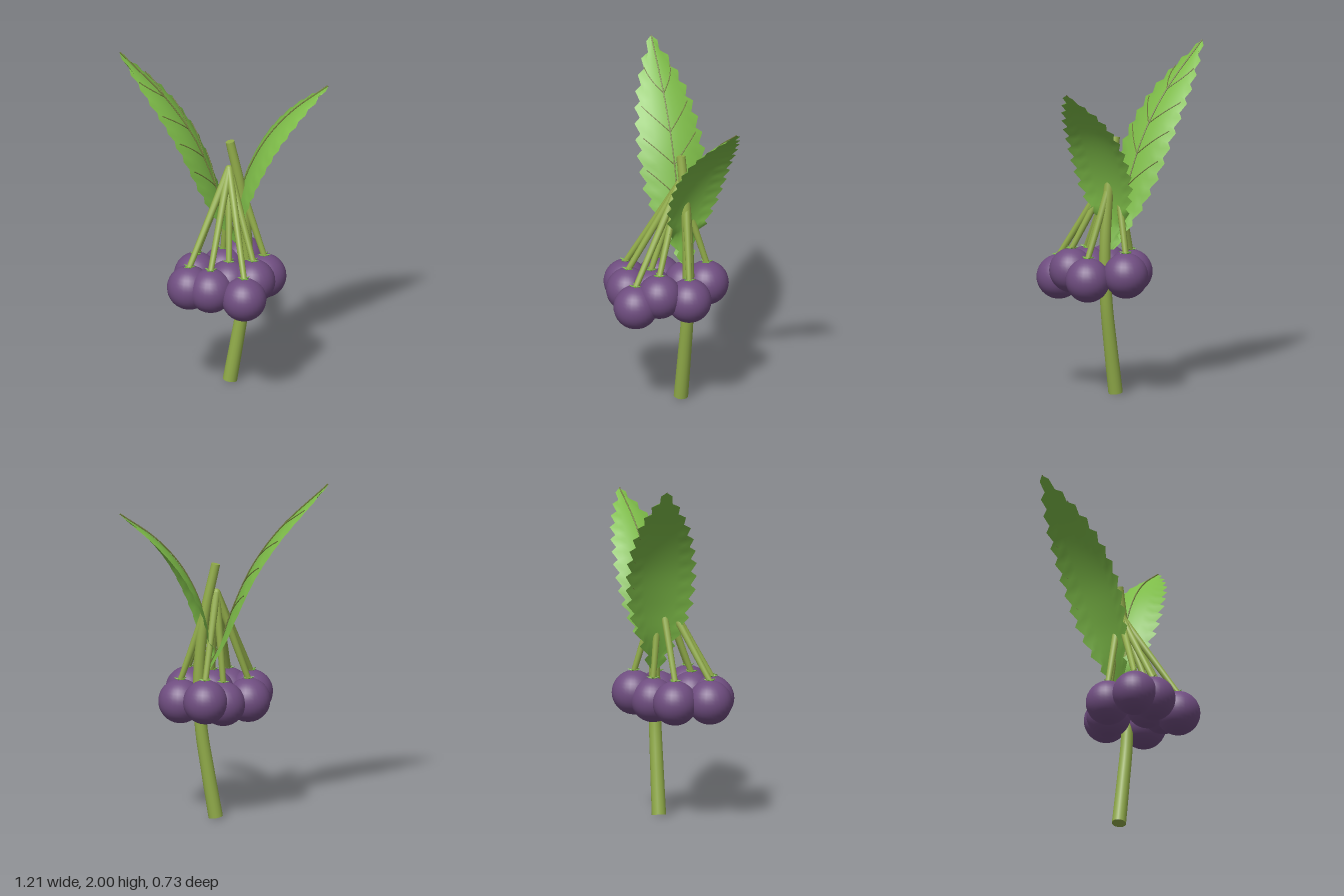
import * as THREE from 'three';

const mat = (name, color, side = THREE.FrontSide) => {
  const m = new THREE.MeshStandardMaterial({ color, side });
  m.name = name;
  return m;
};
const V = (x, y, z) => new THREE.Vector3(x, y, z);
const UP = V(0, 1, 0);

export function createModel() {
  const stemGreen = mat('stem green', 0x92ad4a);
  const leafGreen = mat('leaf green', 0x7dbb48, THREE.DoubleSide);
  const veinGreen = mat('vein olive', 0x717d3c);
  const berryPurple = mat('berry purple', 0x6f4d80);

  const model = new THREE.Group();
  model.name = 'berryCluster';

  const add = (parent, name, geometry, material) => {
    const mesh = new THREE.Mesh(geometry, material);
    mesh.name = name;
    parent.add(mesh);
    return mesh;
  };

  // Tapered round rod between two points
  const rod = (parent, name, a, b, ra, rb, material, sides = 12) => {
    const d = b.clone().sub(a);
    const mesh = add(parent, name, new THREE.CylinderGeometry(rb, ra, d.length(), sides), material);
    mesh.position.copy(a).addScaledVector(d, 0.5);
    mesh.quaternion.setFromUnitVectors(UP, d.normalize());
    return mesh;
  };

  // Main stem: a bowed tube that narrows to its top, closed with end discs
  const stemPath = new THREE.CatmullRomCurve3([
    V(0.04, 0.01, -0.105), V(0.085, 0.28, -0.105), V(0.125, 0.55, -0.105),
    V(0.138, 0.85, -0.105), V(0.105, 1.2, -0.105), V(0.04, 1.51, -0.105),
  ]);
  const stemRadius = (t) => 0.042 - 0.016 * t;
  const stemGeo = new THREE.TubeGeometry(stemPath, 32, 1, 16);
  const pos = stemGeo.attributes.position;
  for (let i = 0; i < pos.count; i++) {
    const t = Math.floor(i / 17) / 32;
    const c = stemPath.getPointAt(t);
    const p = V().fromBufferAttribute(pos, i).sub(c).multiplyScalar(stemRadius(t)).add(c);
    pos.setXYZ(i, p.x, p.y, p.z);
  }
  add(model, 'stem', stemGeo, stemGreen);
  for (const t of [0, 1]) {
    const cap = add(model, 'stemEnd', new THREE.CircleGeometry(stemRadius(t), 16), stemGreen);
    cap.position.copy(stemPath.getPointAt(t));
    cap.quaternion.setFromUnitVectors(V(0, 0, 1), stemPath.getTangentAt(t).multiplyScalar(t ? 1 : -1));
  }

  // Berries, each with a stalk and a small star-shaped calyx: centre x, y, z
  const berries = [
    [-0.182, 0.692, 0.14], [-0.055, 0.695, 0.187], [0.14, 0.667, 0.235],
    [0.185, 0.725, 0.105], [0.24, 0.69, -0.06], [0.11, 0.722, -0.235],
    [0.0, 0.69, -0.15], [-0.152, 0.69, -0.06], [0.045, 0.71, 0.09],
  ];
  const hub = V(0.035, 1.34, -0.1);
  const sideHub = V(0.105, 1.22, -0.108);
  const r = 0.129;
  berries.forEach(([x, y, z], i) => {
    const berry = new THREE.Group();
    berry.name = `berry${i + 1}`;
    model.add(berry);
    add(berry, 'fruit', new THREE.SphereGeometry(r, 28, 18), berryPurple).position.set(x, y, z);
    const top = V(x, y + r - 0.005, z);
    const start = i === 4 ? sideHub : hub;
    rod(berry, 'stalk', top, start, 0.017, 0.023, stemGreen);
    add(berry, 'stalkTop', new THREE.SphereGeometry(0.023, 12, 8), stemGreen).position.copy(start);
    for (let k = 0; k < 5; k++) {
      const a = (k / 5) * Math.PI * 2 + i;
      const out = V(Math.cos(a) * 0.038, 0.013, Math.sin(a) * 0.038);
      rod(berry, 'calyxSpike', top, top.clone().add(out), 0.011, 0.0008, leafGreen, 5);
    }
  });

  // Leaf: arched blade with drooping, saw-toothed edges and raised veins
  const makeLeaf = (name, points, maxHalf, nodes) => {
    const leaf = new THREE.Group();
    leaf.name = name;
    model.add(leaf);
    const path = new THREE.CatmullRomCurve3(points);
    const tip = points[points.length - 1];
    const base = points[0];
    const side = V(-(tip.z - base.z), 0, tip.x - base.x).normalize();
    const widths = [0.12, 0.42, 0.74, 0.93, 1, 0.97, 0.88, 0.7, 0.4, 0];
    const halfWidth = (t) => {
      const f = Math.min(t, 0.9999) * (widths.length - 1);
      const k = Math.floor(f);
      return maxHalf * THREE.MathUtils.lerp(widths[k], widths[k + 1], f - k);
    };
    // Point on the blade: t runs along the midrib, u from edge (-1) to edge (1)
    const surface = (t, u, grow = 0, lift = 0) => {
      const tc = THREE.MathUtils.clamp(t, 0, 1);
      const n = path.getTangentAt(tc).cross(side).normalize();
      if (n.y < 0) n.negate();
      const w = halfWidth(tc);
      return path.getPointAt(tc)
        .addScaledVector(side, u * (w + grow))
        .addScaledVector(n, lift - 0.042 * u * u * (w / maxHalf));
    };

    const teeth = 14, rows = teeth * 2, cols = 8;
    const verts = [], index = [];
    for (let i = 0; i <= rows; i++) {
      const tooth = i % 2 === 1;
      for (let j = 0; j <= cols; j++) {
        const u = (j / cols) * 2 - 1;
        const edge = Math.abs(u) === 1;
        const t = i / rows + (edge && tooth ? 0.35 / rows : 0);
        const p = surface(t, u, edge && i > 0 && i < rows ? (tooth ? 0.018 : -0.015) : 0);
        verts.push(p.x, p.y, p.z);
        if (i < rows && j < cols) {
          const a = i * (cols + 1) + j, b = a + cols + 1;
          index.push(a, b, a + 1, b, b + 1, a + 1);
        }
      }
    }
    const geo = new THREE.BufferGeometry();
    geo.setAttribute('position', new THREE.Float32BufferAttribute(verts, 3));
    geo.setIndex(index);
    geo.computeVertexNormals();
    add(leaf, 'blade', geo, leafGreen);

    const vein = (part, f, radius, steps) => {
      const pts = Array.from({ length: steps + 1 }, (_, k) => f(k / steps));
      add(leaf, part, new THREE.TubeGeometry(new THREE.CatmullRomCurve3(pts), steps * 2, radius, 6), veinGreen);
    };
    vein('midrib', (s) => surface(s, 0, 0, 0.0045), 0.004, 16);
    for (const t of nodes) {
      for (const sgn of [-1, 1]) {
        vein('sideVein', (s) => surface(t + 0.13 * s, sgn * 0.86 * s, 0, 0.0035), 0.003, 6);
      }
    }
  };

  makeLeaf('rightLeaf', [
    V(0.1, 0.86, -0.115), V(0.01, 1.05, -0.12), V(-0.06, 1.25, -0.13),
    V(-0.17, 1.5, -0.15), V(-0.335, 1.735, -0.18), V(-0.605, 2.0, -0.23),
  ], 0.19, [0.28, 0.42, 0.56, 0.73]);
  makeLeaf('leftLeaf', [
    V(0.11, 0.86, -0.11), V(0.085, 1.05, -0.11), V(0.125, 1.26, -0.118),
    V(0.24, 1.5, -0.135), V(0.395, 1.68, -0.16), V(0.605, 1.835, -0.19),
  ], 0.18, []);

  return model;
}
